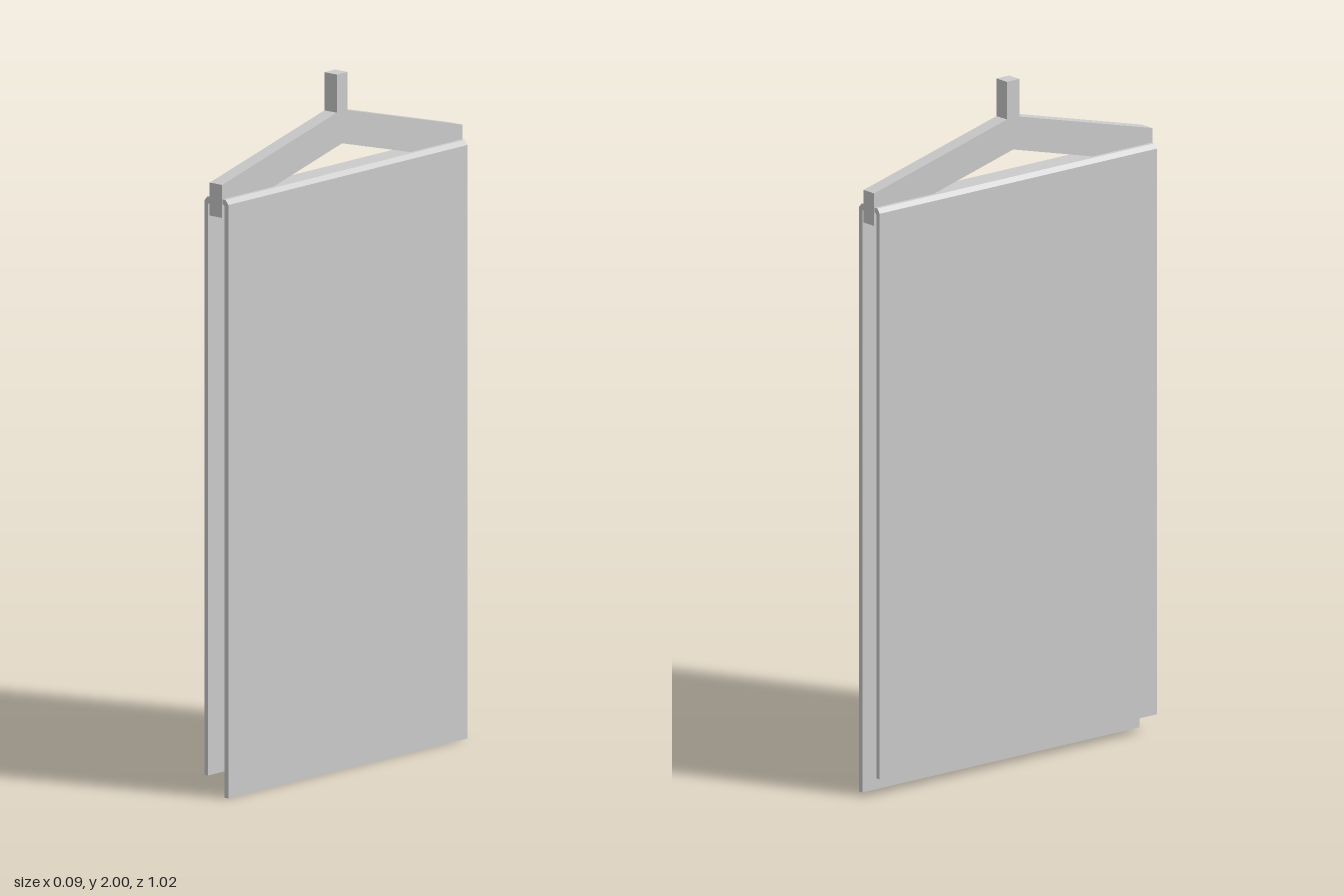
import * as THREE from 'three';

// Extrude an outline (with optional hole) and centre it along its depth
function slab(name, outline, depth, material, hole) {
  const toPoints = (list) => list.map(([x, y]) => new THREE.Vector2(x, y));
  const shape = new THREE.Shape(toPoints(outline));
  if (hole) shape.holes.push(new THREE.Path(toPoints(hole)));
  const geometry = new THREE.ExtrudeGeometry(shape, { depth, bevelEnabled: false });
  geometry.translate(0, 0, -depth / 2);
  const mesh = new THREE.Mesh(geometry, material);
  mesh.name = name;
  return mesh;
}

export function createModel() {
  const group = new THREE.Group();
  group.name = 'hangingCloth';
  const material = new THREE.MeshStandardMaterial({ color: 0xcccccc, flatShading: true });

  // Hanger frame: sloping shoulders, upright neck, bottom bar
  const hanger = slab('hanger', [
    [-0.512, 1.67], [0.512, 1.67], [0.512, 1.765], [0.023, 1.89],
    [0.023, 2], [-0.023, 2], [-0.023, 1.89], [-0.512, 1.765],
  ], 0.046, material, [[-0.35, 1.708], [0, 1.798], [0.35, 1.708]]);
  hanger.rotation.y = Math.PI / 2;
  group.add(hanger);

  // Cloth folded over the bar, the right-hand fall slightly shorter
  group.add(slab('cloth', [
    [0.045, 0], [0.045, 1.71], [0.034, 1.723], [-0.034, 1.723], [-0.045, 1.71],
    [-0.045, 0.055], [-0.031, 0.055], [-0.031, 1.703], [-0.026, 1.709],
    [0.026, 1.709], [0.031, 1.703], [0.031, 0],
  ], 1.02, material));

  return group;
}
